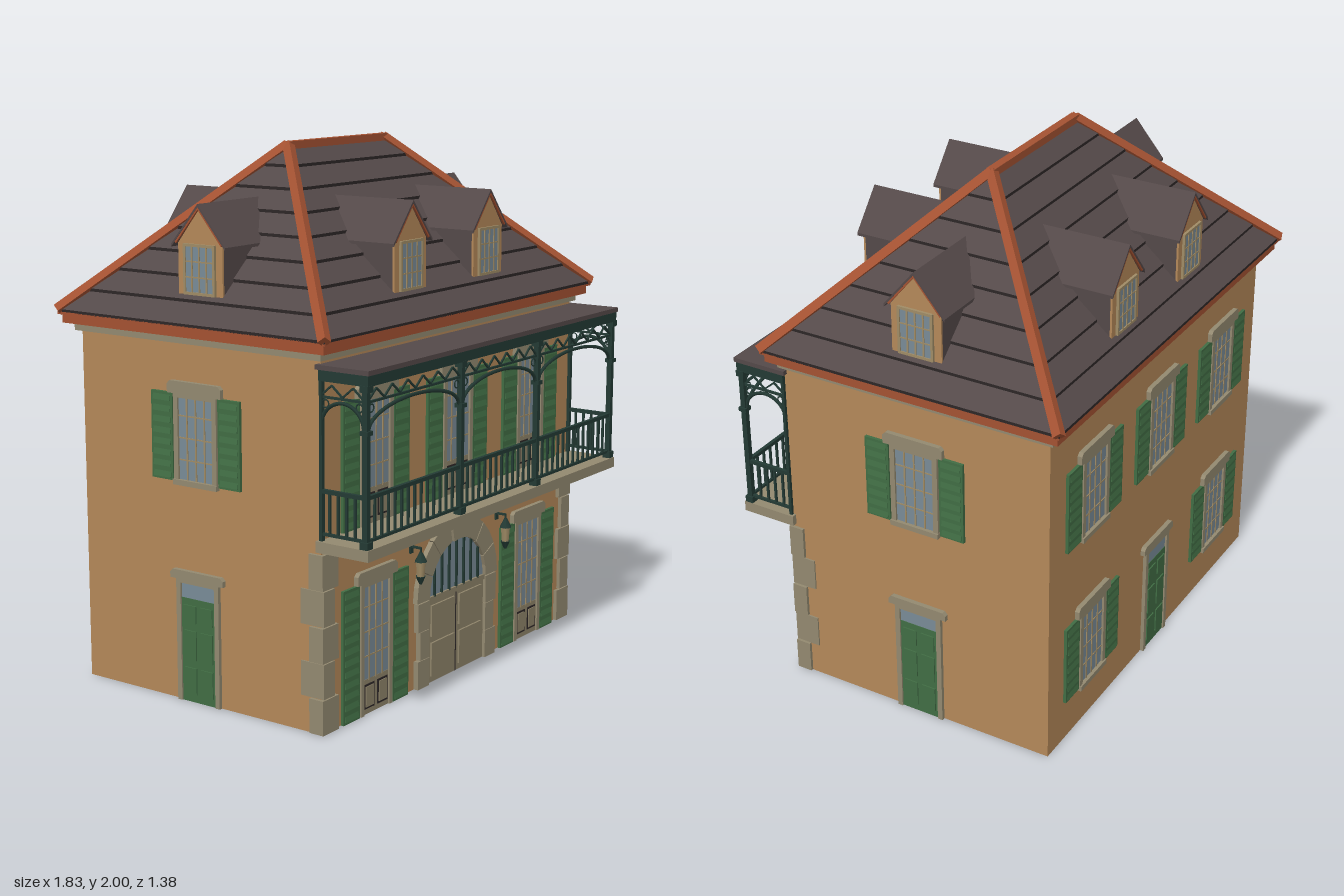
import * as THREE from 'three';

const mat = (name, color) => Object.assign(new THREE.MeshStandardMaterial({ color }), { name });
const M = {
  wall: mat('ochre plaster', 0xb48859), stone: mat('grey stone', 0x938970),
  slate: mat('slate', 0x544949), dark: mat('dark slate', 0x2d2727),
  tile: mat('terracotta', 0xa45232), green: mat('shutter green', 0x416d44),
  iron: mat('painted iron', 0x233a34), glass: mat('window glass', 0x798b97),
  wood: mat('gate wood', 0x8e8369), sash: mat('sash paint', 0xa08c66),
};
const CZ = -0.07, FRONT = 0.475, BACK = -0.61, SIDE = 0.84;

function add(parent, name, geo, material, x = 0, y = 0, z = 0) {
  const m = new THREE.Mesh(geo, material);
  m.name = name;
  m.position.set(x, y, z);
  parent.add(m);
  return m;
}
// box given by its extents on each axis
const box = (p, name, m, x0, x1, y0, y1, z0, z1) =>
  add(p, name, new THREE.BoxGeometry(x1 - x0, y1 - y0, z1 - z0), m, (x0 + x1) / 2, (y0 + y1) / 2, (z0 + z1) / 2);
// square bar between two points
function bar(p, name, m, a, b, w) {
  const A = new THREE.Vector3(...a), d = new THREE.Vector3(...b).sub(A), len = d.length();
  const mesh = add(p, name, new THREE.BoxGeometry(w, len, w), m);
  mesh.position.copy(A).addScaledVector(d, 0.5);
  mesh.quaternion.setFromUnitVectors(new THREE.Vector3(0, 1, 0), d.normalize());
}
function extrude(points, depth) {
  const s = new THREE.Shape(points.map(q => new THREE.Vector2(...q)));
  return new THREE.ExtrudeGeometry(s, { depth, bevelEnabled: false });
}
function group(parent, name, x = 0, y = 0, z = 0, turn = 0) {
  const g = new THREE.Group();
  g.name = name;
  g.position.set(x, y, z);
  g.rotation.y = turn;
  parent.add(g);
  return g;
}

// glazed panel with a frame and glazing bars, facing +z
function glazing(g, w, y0, y1, rows) {
  box(g, 'glass', M.glass, -w, w, y0, y1, 0, 0.006);
  for (const x of [-w / 2, 0, w / 2]) box(g, 'glazingBar', M.sash, x - 0.003, x + 0.003, y0, y1, 0.004, 0.009);
  for (let i = 1; i < rows; i++) {
    const y = y0 + (y1 - y0) * i / rows;
    box(g, 'glazingBar', M.sash, -w, w, y - 0.0025, y + 0.0025, 0.004, 0.008);
  }
}
function surround(g, y0, y1, lintel, w = 0.097) {
  for (const s of [-1, 1]) box(g, 'jamb', M.stone, s * 0.088 - 0.01, s * 0.088 + 0.01, y0, y1, 0, 0.014);
  box(g, 'head', M.stone, -w, w, y1 - 0.015, y1, 0, 0.014);
  add(g, 'lintel', extrude([[-0.122, y1], [0.122, y1], [0.122, y1 + lintel - 0.012], [0.11, y1 + lintel],
    [-0.11, y1 + lintel], [-0.122, y1 + lintel - 0.012]], 0.018), M.stone);
}
function shutters(g, y0, y1) {
  for (const s of [-1, 1]) {
    const x = s * 0.153;
    box(g, 'shutter', M.green, x - 0.049, x + 0.049, y0, y1, 0, 0.012);
    const n = Math.round((y1 - y0) / 0.04);
    for (let i = 0; i < n; i++) {
      const y = y0 + (y1 - y0) * (i + 0.5) / n;
      const slat = box(g, 'louvre', M.green, x - 0.04, x + 0.04, y - 0.012, y + 0.012, 0.01, 0.014);
      slat.rotation.x = -0.2;
    }
  }
}
function windowUnit(g, y0, y1) {
  glazing(g, 0.08, y0, y1, 4);
  surround(g, y0, y1, 0.045);
  box(g, 'sill', M.stone, -0.1, 0.1, y0 - 0.012, y0 + 0.008, 0, 0.02);
  shutters(g, y0, y1);
}
function frenchDoor(g, y0, y1) {
  glazing(g, 0.08, y0 + 0.125, y1, 4);
  box(g, 'lowerDoor', M.wood, -0.08, 0.08, y0, y0 + 0.13, 0, 0.007);
  for (const x of [-0.041, 0.041]) {
    box(g, 'panelGroove', M.dark, x - 0.031, x + 0.031, y0 + 0.02, y0 + 0.112, 0.005, 0.009);
    box(g, 'panel', M.wood, x - 0.024, x + 0.024, y0 + 0.028, y0 + 0.104, 0.006, 0.012);
  }
  surround(g, y0, y1, 0.045);
  shutters(g, y0, y1);
}
function panelDoor(g) {
  box(g, 'transom', M.glass, -0.08, 0.08, 0.385, 0.46, 0, 0.006);
  box(g, 'door', M.green, -0.08, 0.08, 0, 0.39, 0, 0.008);
  for (const x of [-0.038, 0.038]) for (const [a, b] of [[0.03, 0.13], [0.16, 0.27], [0.3, 0.365]])
    box(g, 'doorPanel', M.green, x - 0.028, x + 0.028, a, b, 0.006, 0.013);
  surround(g, 0, 0.46, 0.033);
}

function gate(root) {
  const g = group(root, 'carriageGate', 0, 0, FRONT), spring = 0.33;
  box(g, 'gateLeaves', M.wood, -0.2, 0.2, 0, spring, 0, 0.008);
  box(g, 'gateTransom', M.wood, -0.2, 0.2, spring - 0.015, spring + 0.005, 0, 0.014);
  box(g, 'gateSeam', M.dark, -0.002, 0.002, 0, spring - 0.015, 0.006, 0.01);
  for (const x of [-0.095, 0.095]) for (const [a, b] of [[0.025, 0.155], [0.18, 0.3]])
    box(g, 'gatePanel', M.wood, x - 0.078, x + 0.078, a, b, 0.006, 0.016);
  add(g, 'fanlight', new THREE.CircleGeometry(0.205, 24, 0, Math.PI), M.glass, 0, spring, 0.006);
  for (let i = -3; i <= 3; i++) {
    const x = i * 0.05;
    box(g, 'fanlightBar', M.iron, x - 0.004, x + 0.004, spring, spring + Math.sqrt(0.04 - x * x), 0.004, 0.014);
  }
  for (const s of [-1, 1]) for (let i = 0; i < 3; i++) {
    const o = i % 2 ? 0.255 : 0.27;
    box(g, 'gateJamb', M.stone, s < 0 ? -o : 0.195, s < 0 ? -0.195 : o, i * 0.11, i * 0.11 + 0.108, 0, 0.02);
  }
  // arch stones with a taller keystone
  for (let i = 0; i < 7; i++) {
    const a = Math.PI * i / 7 + 0.008, b = Math.PI * (i + 1) / 7 - 0.008, R = i === 3 ? 0.292 : 0.278;
    const pt = (r, t) => [r * Math.cos(t), spring + r * Math.sin(t)], mid = (a + b) / 2;
    add(g, 'archStone', extrude([pt(0.195, a), pt(R, a), pt(R, mid), pt(R, b), pt(0.195, b), pt(0.195, mid)],
      i === 3 ? 0.028 : 0.02), M.stone);
  }
}

function lantern(root, x) {
  const g = group(root, 'lantern', x, 0, 0.52);
  const cyl = (name, m, a, b, y0, y1) => add(g, name, new THREE.CylinderGeometry(a, b, y1 - y0, 6), m, 0, (y0 + y1) / 2);
  cyl('lanternCap', M.iron, 0.006, 0.025, 0.505, 0.54);
  cyl('lanternGlass', M.sash, 0.02, 0.015, 0.45, 0.505);
  cyl('lanternBase', M.iron, 0.02, 0.005, 0.42, 0.45);
  bar(g, 'lanternHook', M.iron, [0, 0.535, 0], [0, 0.558, 0], 0.006);
  bar(g, 'lanternArm', M.iron, [0, 0.555, 0], [0, 0.555, -0.045], 0.008);
  box(g, 'lanternPlate', M.iron, -0.01, 0.01, 0.53, 0.61, -0.046, -0.038);
}

// railing, zigzag frieze and arch along local x, centred on the origin
function ironBay(g, half, bars, teeth) {
  for (const [y, w] of [[0.875, 0.014], [0.725, 0.01], [1.2, 0.008]])
    box(g, 'rail', M.iron, -half, half, y - w / 2, y + w / 2, -w / 2, w / 2);
  for (let i = 1; i < bars; i++) {
    const x = -half + 2 * half * i / bars;
    box(g, 'baluster', M.iron, x - 0.004, x + 0.004, 0.72, 0.875, -0.004, 0.004);
  }
  for (let i = 0; i < teeth * 2; i++) {
    const x = k => -half + half * k / teeth, y = k => (k % 2 ? 1.242 : 1.205);
    bar(g, 'friezeZigzag', M.iron, [x(i), y(i), 0], [x(i + 1), y(i + 1), 0], 0.006);
  }
  const pts = [];
  for (let i = 0; i <= 16; i++) {
    const t = Math.PI * i / 16;
    pts.push(new THREE.Vector3(-half * Math.cos(t), 1.1 + 0.085 * Math.sin(t), 0));
  }
  add(g, 'arch', new THREE.TubeGeometry(new THREE.CatmullRomCurve3(pts), 24, 0.007, 5), M.iron);
  for (const s of [-1, 1]) add(g, 'spandrelRing', new THREE.TorusGeometry(0.014, 0.003, 4, 10), M.iron, s * (half - 0.018), 1.178, 0);
}

function balcony(root) {
  const g = group(root, 'balcony'), Z = 0.665;
  box(g, 'balconySlab', M.stone, -0.86, 0.86, 0.66, 0.7, FRONT - 0.01, 0.685);
  box(g, 'balconyRoof', M.slate, -0.86, 0.86, 1.293, 1.31, FRONT - 0.01, 0.685);
  box(g, 'frontBeam', M.iron, -0.855, 0.855, 1.255, 1.293, Z - 0.013, Z + 0.015);
  for (const s of [-1, 1]) box(g, 'sideBeam', M.iron, s * 0.843 - 0.012, s * 0.843 + 0.012, 1.255, 1.293, FRONT, Z);
  for (const x of [-0.843, -0.265, 0.265, 0.843]) {
    box(g, 'post', M.iron, x - 0.01, x + 0.01, 0.7, 1.255, Z - 0.01, Z + 0.01);
    for (const [a, b] of [[0.7, 0.725], [1.09, 1.105], [1.235, 1.258]])
      box(g, 'postCollar', M.iron, x - 0.016, x + 0.016, a, b, Z - 0.016, Z + 0.016);
  }
  ironBay(group(g, 'middleBay', 0, 0, Z), 0.255, 13, 6);
  for (const s of [-1, 1]) {
    ironBay(group(g, 'outerBay', s * 0.554, 0, Z), 0.279, 14, 6);
    ironBay(group(g, 'endBay', s * 0.843, 0, 0.567, Math.PI / 2), 0.088, 5, 2);
    box(g, 'wallPost', M.iron, s * 0.843 - 0.008, s * 0.843 + 0.008, 0.7, 1.255, FRONT, FRONT + 0.012);
  }
}

// hipped roof made of overlapping courses
function roof(root) {
  const g = group(root, 'roof', 0, 0, CZ), N = 8;
  const ring = (t, lift) => {
    const x = 0.9 - 0.6 * t, z = 0.605 * (1 - t), y = 1.39 + 0.595 * t + lift;
    return [[-x, y, z], [x, y, z], [x, y, -z], [-x, y, -z]];
  };
  const band = (pos, lo, hi) => {
    for (let i = 0; i < 4; i++) {
      const j = (i + 1) % 4;
      pos.push(...lo[i], ...lo[j], ...hi[j], ...lo[i], ...hi[j], ...hi[i]);
    }
  };
  const faces = [], lips = [];
  for (let k = 0; k < N; k++) {
    const t = k / N;
    band(lips, ring(t, 0), ring(t, 0.011));
    band(faces, ring(t, 0.011), ring((k + 1) / N, 0));
  }
  for (const [name, pos, m] of [['slateCourses', faces, M.slate], ['courseEdges', lips, M.dark]]) {
    const geo = new THREE.BufferGeometry();
    geo.setAttribute('position', new THREE.Float32BufferAttribute(pos, 3));
    geo.computeVertexNormals();
    add(g, name, geo, m);
  }
  box(g, 'cornice', M.stone, -0.86, 0.86, 1.322, 1.352, -0.56, 0.56);
  box(g, 'eavesFascia', M.tile, -0.888, 0.888, 1.35, 1.388, -0.593, 0.593);
  box(g, 'eavesEdge', M.tile, -0.9, 0.9, 1.382, 1.392, -0.605, 0.605);
  bar(g, 'ridgeCap', M.tile, [-0.31, 1.983, 0], [0.31, 1.983, 0], 0.033);
  for (const x of [-1, 1]) for (const z of [-1, 1])
    bar(g, 'hipCap', M.tile, [x * 0.9, 1.397, z * 0.605], [x * 0.3, 1.985, 0], 0.033);

  const dormer = (x, z, turn) => {
    const d = group(g, 'dormer', x, 0, z, turn);
    const gable = [[-0.1, 1.485], [0.1, 1.485], [0.1, 1.67], [0, 1.795], [-0.1, 1.67]];
    add(d, 'dormerSides', extrude(gable, 0.34), M.slate, 0, 0, -0.345);
    add(d, 'dormerFront', extrude(gable, 0.008), M.wall, 0, 0, -0.005);
    add(d, 'dormerRoof', extrude([[-0.122, 1.655], [0, 1.8], [0.122, 1.655], [0.122, 1.666], [0, 1.811], [-0.122, 1.666]], 0.36),
      M.slate, 0, 0, -0.345);
    for (const s of [-1, 1]) bar(d, 'gableTrim', M.tile, [s * 0.105, 1.671, 0.01], [0, 1.797, 0.01], 0.008);
    const w = group(d, 'dormerWindow', 0, 0, 0.003);
    glazing(w, 0.065, 1.497, 1.663, 3);
    for (const s of [-1, 1]) box(w, 'dormerJamb', M.sash, s * 0.066 - 0.005, s * 0.066 + 0.005, 1.49, 1.668, 0, 0.01);
    for (const y of [1.495, 1.665]) box(w, 'dormerRail', M.sash, -0.07, 0.07, y - 0.005, y + 0.005, 0, 0.01);
  };
  for (const s of [-1, 1]) {
    for (const x of [-0.26, 0.26]) dormer(x, s * 0.51, s > 0 ? 0 : Math.PI);
    dormer(s * 0.805, 0, s * Math.PI / 2);
  }
}

export function createModel() {
  const root = new THREE.Group();
  root.name = 'townhouse';
  box(root, 'walls', M.wall, -SIDE, SIDE, 0, 1.33, BACK, FRONT);

  // front and back openings
  for (const x of [-0.525, 0, 0.525]) {
    frenchDoor(group(root, 'balconyDoor', x, 0, FRONT), 0.7, 1.16);
    if (x) frenchDoor(group(root, 'streetDoor', x, 0, FRONT), 0, 0.49);
    const back = name => group(root, name, x, 0, BACK, Math.PI);
    windowUnit(back('rearUpperWindow'), 0.82, 1.14);
    if (x) windowUnit(back('rearLowerWindow'), 0.17, 0.49);
    else panelDoor(back('rearDoor'));
  }
  gate(root);

  // end walls, corner stones and lanterns
  for (const s of [-1, 1]) {
    const turn = s * Math.PI / 2;
    windowUnit(group(root, 'sideWindow', s * SIDE, 0, CZ, turn), 0.82, 1.14);
    panelDoor(group(root, 'sideDoor', s * SIDE, 0, CZ, turn));
    for (let i = 0; i < 5; i++) {
      const w = i % 2 ? 0.07 : 0.092, d = i % 2 ? 0.1 : 0.06;
      const o = i % 2 ? 0.846 : 0.852, inner = 0.852 - w;
      box(root, 'quoin', M.stone, s < 0 ? -o : inner, s < 0 ? -inner : o, i * 0.13 + 0.002, i * 0.13 + 0.128, 0.49 - d, 0.49);
    }
    lantern(root, s * 0.295);
  }
  balcony(root);
  roof(root);
  return root;
}
